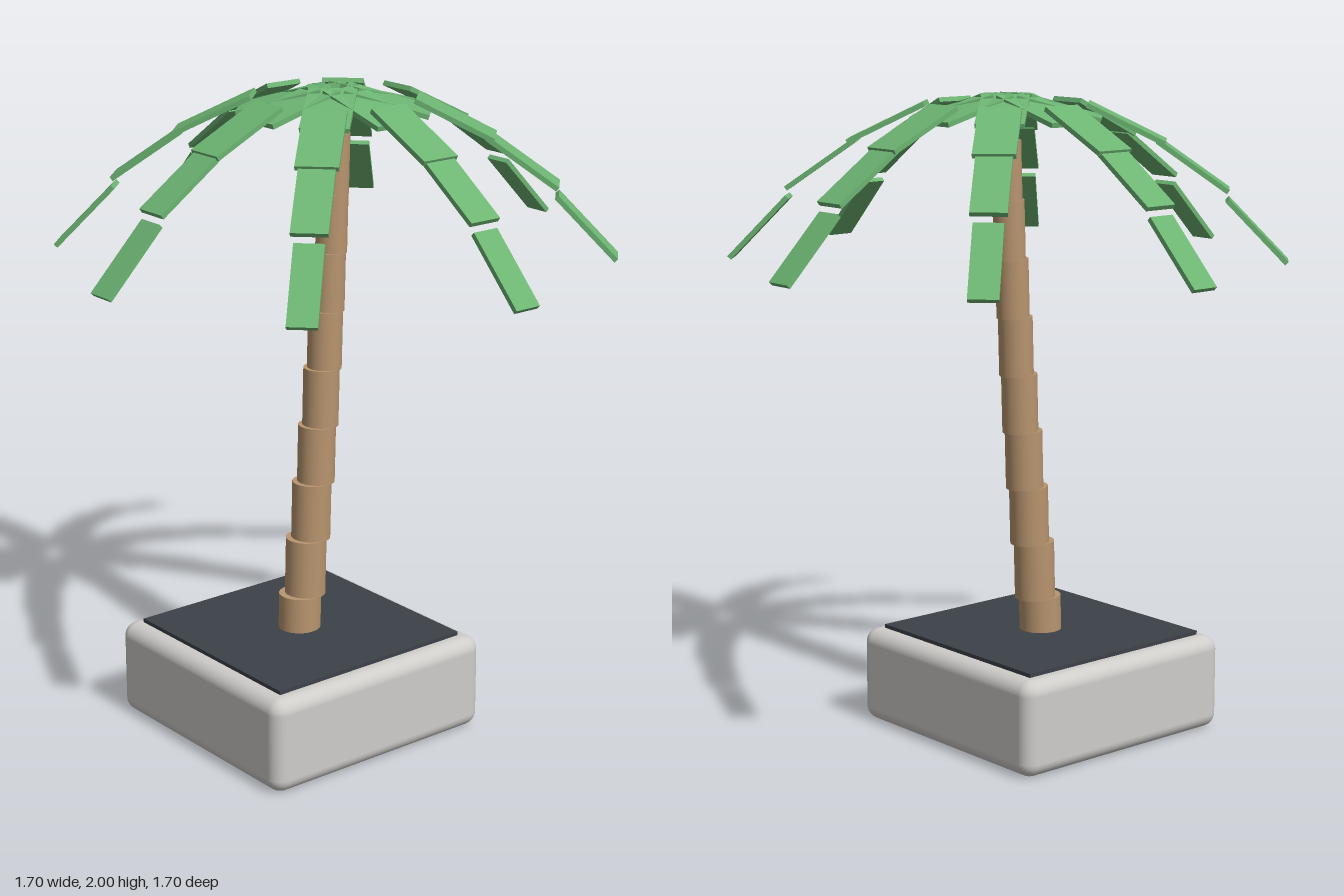
import * as THREE from 'three';
import { RoundedBoxGeometry } from 'three/addons/geometries/RoundedBoxGeometry.js';

const flat = (name, color) => {
  const m = new THREE.MeshStandardMaterial({ color });
  m.name = name;
  return m;
};

export function createModel() {
  const stone = flat('pale stone', 0xcfcdca);
  const earth = flat('dark soil', 0x3d4249);
  const bark = flat('bark', 0xb8956f);
  const leaf = flat('leaf green', 0x6db573);

  const root = new THREE.Group();
  root.name = 'pottedPalm';
  const add = (parent, name, geometry, material, x, y, z) => {
    const mesh = new THREE.Mesh(geometry, material);
    mesh.name = name;
    mesh.position.set(x, y, z);
    parent.add(mesh);
    return mesh;
  };

  // Square planter with soft edges and a soil slab on top
  add(root, 'planter', new RoundedBoxGeometry(0.81, 0.3, 0.81, 4, 0.045), stone, -0.14, 0.15, 0);
  add(root, 'soil', new THREE.BoxGeometry(0.7, 0.03, 0.7), earth, -0.14, 0.297, 0);

  // Trunk: stacked cylinders, thinner and more upright towards the crown
  const trunk = new THREE.Group();
  trunk.name = 'trunk';
  root.add(trunk);
  const offsets = [-0.14, -0.115, -0.092, -0.071, -0.053, -0.037, -0.023, -0.01, 0];
  offsets.forEach((x, i) => {
    const r = 0.066 - i * 0.0025;
    const ring = add(trunk, 'trunkSegment', new THREE.CylinderGeometry(r, r, 0.183, 24), bark, x, 0.33 + i * 0.18, 0);
    ring.rotation.z = -0.03;
  });

  // Crown: eight drooping fronds, each made of four narrowing slats
  const slats = [
    // distance from centre, height, droop in degrees, width
    [0.16, 1.96, 15, 0.145],
    [0.36, 1.915, 26, 0.126],
    [0.56, 1.79, 35, 0.107],
    [0.755, 1.595, 46, 0.088],
  ];
  for (let i = 0; i < 8; i++) {
    const frond = new THREE.Group();
    frond.name = 'frond';
    frond.rotation.y = (i * Math.PI) / 4;
    root.add(frond);
    for (const [r, y, droop, width] of slats) {
      const slat = add(frond, 'frondSlat', new THREE.BoxGeometry(0.26, 0.015, width), leaf, r, y, 0);
      slat.rotation.z = -THREE.MathUtils.degToRad(droop);
    }
  }
  return root;
}
